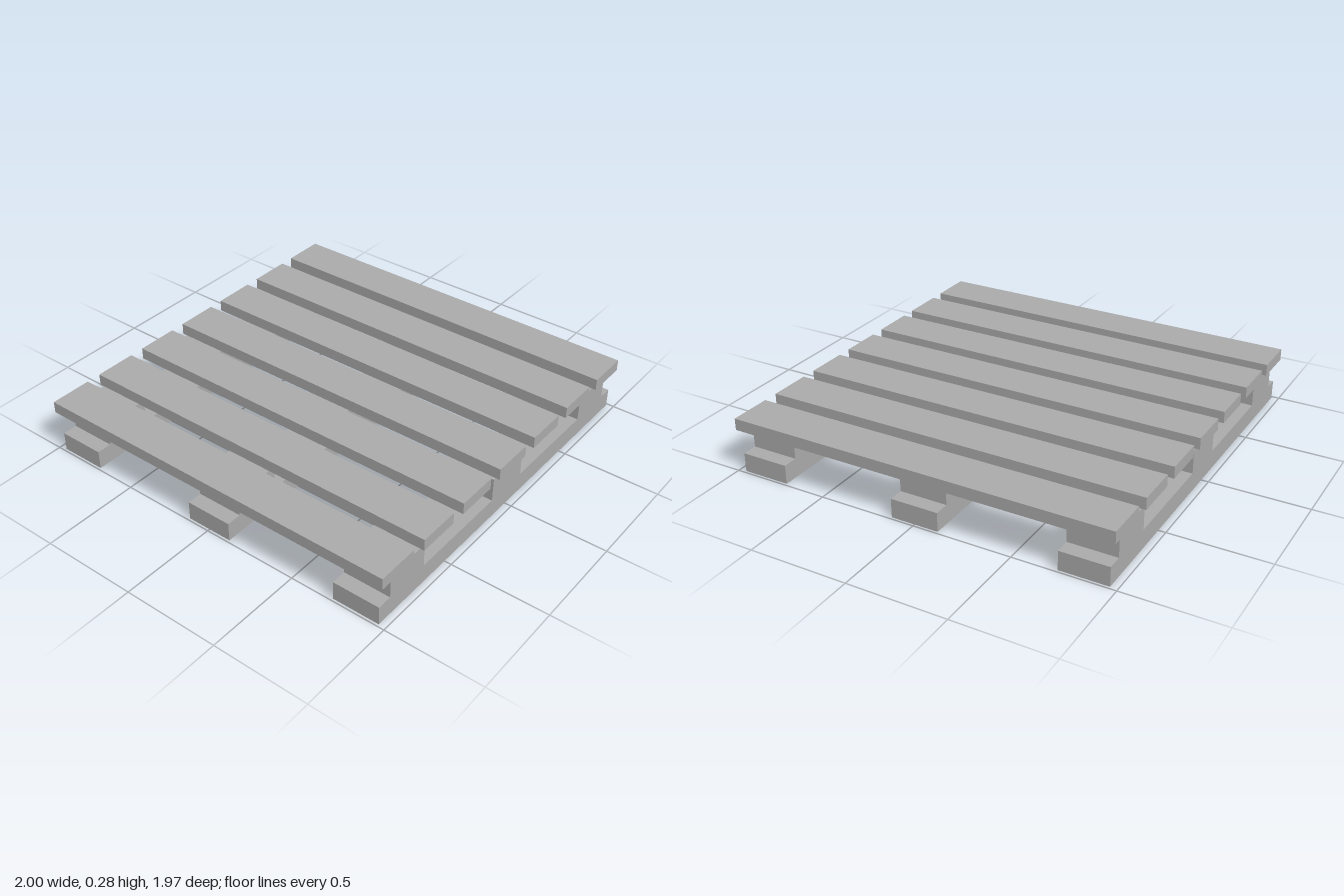
import * as THREE from 'three';

export function createModel() {
  const group = new THREE.Group();
  group.name = 'pallet';
  const wood = new THREE.MeshStandardMaterial({ color: 0xaaaaaa });
  wood.name = 'grey wood';

  // Runner profile: a low beam with three raised blocks
  const end = 0.987, beamTop = 0.097, blockTop = 0.22, half = 0.122;
  const profile = new THREE.Shape();
  profile.moveTo(-end, 0);
  profile.lineTo(end, 0);
  profile.lineTo(end, beamTop);
  for (const x of [0.788, 0, -0.788]) {
    profile.lineTo(x + half, beamTop);
    profile.lineTo(x + half, blockTop);
    profile.lineTo(x - half, blockTop);
    profile.lineTo(x - half, beamTop);
  }
  profile.lineTo(-end, beamTop);
  profile.closePath();
  const runnerGeometry = new THREE.ExtrudeGeometry(profile, { depth: half * 2, bevelEnabled: false });
  runnerGeometry.translate(0, 0, -half);

  // Three runners across the pallet
  ['backRunner', 'middleRunner', 'frontRunner'].forEach((name, i) => {
    const runner = new THREE.Mesh(runnerGeometry, wood);
    runner.name = name;
    runner.position.z = (i - 1) * 0.842;
    group.add(runner);
  });

  // Seven evenly spaced deck slats running front to back
  const slatGeometry = new THREE.BoxGeometry(0.22, 0.06, 1.974);
  for (let i = 0; i < 7; i++) {
    const slat = new THREE.Mesh(slatGeometry, wood);
    slat.name = `deckSlat${i + 1}`;
    slat.position.set((i - 3) * (0.89 / 3), 0.253, 0);
    group.add(slat);
  }
  return group;
}
